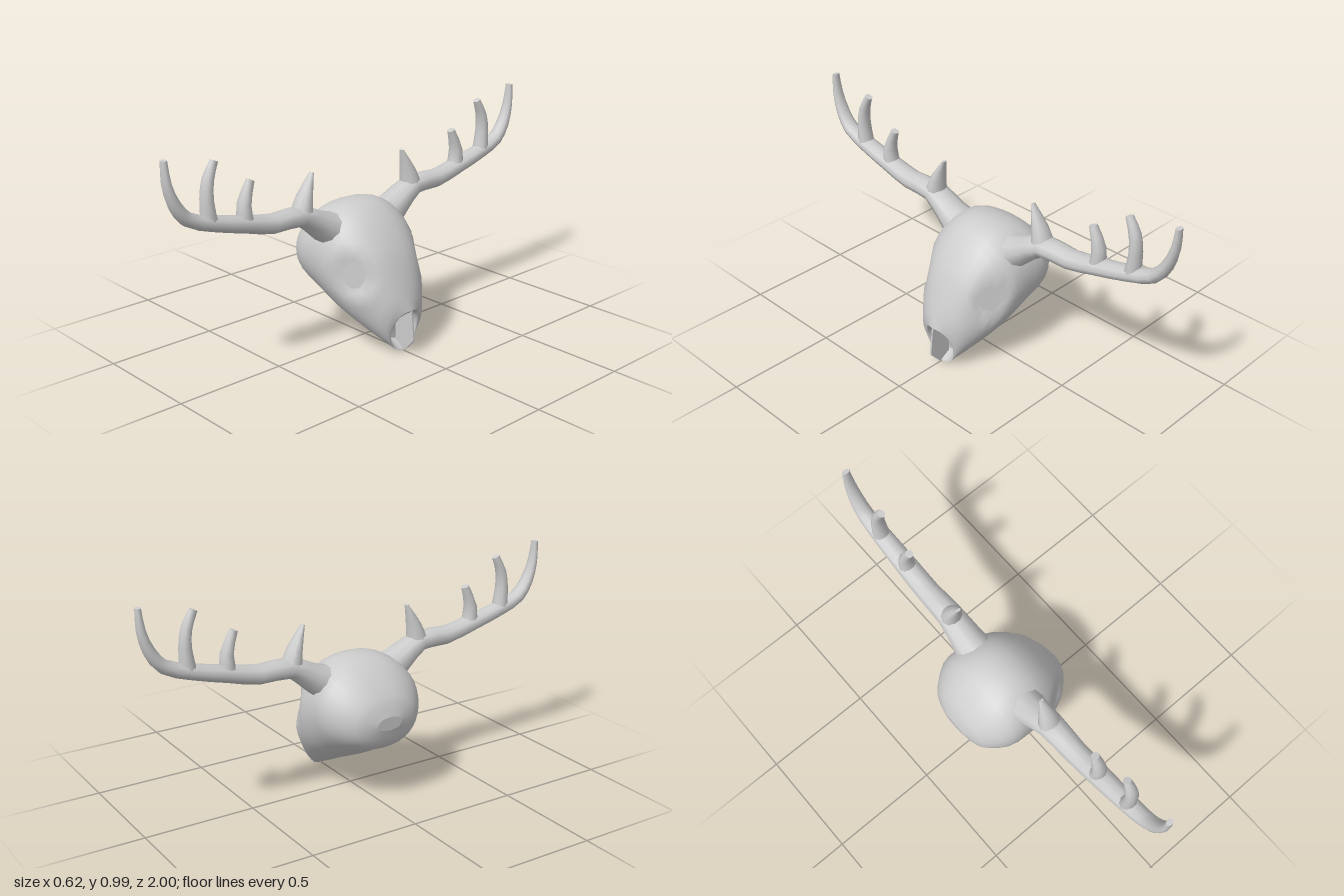
import * as THREE from 'three';

const V = (x, y, z) => new THREE.Vector3(x, y, z);
const material = new THREE.MeshStandardMaterial({ color: 0xcccccc });
const insideMaterial = new THREE.MeshStandardMaterial({ color: 0xcccccc, side: THREE.DoubleSide });

// Skin a row of closed rings; caps get their own vertices so their rims stay sharp.
function loft(rings, capStart, capEnd) {
  const pos = [], idx = [], n = rings[0].length;
  rings.forEach((ring) => ring.forEach((p) => pos.push(p.x, p.y, p.z)));
  for (let k = 0; k < rings.length - 1; k++) {
    for (let j = 0; j < n; j++) {
      const a = k * n + j, b = k * n + (j + 1) % n;
      idx.push(a, b, a + n, b, b + n, a + n);
    }
  }
  const cap = (ring, flip) => {
    const c = ring.reduce((s, p) => s.add(p), V(0, 0, 0)).divideScalar(n);
    const o = pos.length / 3;
    [c, ...ring].forEach((p) => pos.push(p.x, p.y, p.z));
    for (let j = 0; j < n; j++) {
      const a = o + 1 + j, b = o + 1 + (j + 1) % n;
      idx.push(o, flip ? b : a, flip ? a : b);
    }
  };
  if (capStart) cap(rings[0], true);
  if (capEnd) cap(rings[rings.length - 1], false);
  const g = new THREE.BufferGeometry();
  g.setAttribute('position', new THREE.Float32BufferAttribute(pos, 3));
  g.setIndex(idx);
  g.computeVertexNormals();
  return g;
}

function add(parent, name, geometry, mat = material) {
  const mesh = new THREE.Mesh(geometry, mat);
  mesh.name = name;
  parent.add(mesh);
  return mesh;
}

// Skull sections from the back to the muzzle: topX, topY, bottomX, bottomY, halfWidth
const SECTIONS = [
  [-0.31, 0.42, -0.308, 0.36, 0.06],
  [-0.275, 0.50, -0.28, 0.28, 0.155],
  [-0.155, 0.61, -0.20, 0.235, 0.237],
  [-0.03, 0.637, -0.10, 0.18, 0.243],
  [0.07, 0.60, 0.00, 0.13, 0.238],
  [0.18, 0.48, 0.08, 0.092, 0.205],
  [0.24, 0.36, 0.16, 0.05, 0.15],
  [0.295, 0.205, 0.25, 0.006, 0.082],
];
const EYE = V(0.123, 0.367, 0.178);
const EYE_NORMAL = V(0.55, 0.08, 0.83).normalize();

// Press the surface around each eye on to the plane of the eye
function sinkSocket(p) {
  const side = p.z < 0 ? -1 : 1;
  const d = V(p.x, p.y, p.z * side).sub(EYE);
  const h = d.dot(EYE_NORMAL);
  const r = d.addScaledVector(EYE_NORMAL, -h).length();
  const amount = 1 - THREE.MathUtils.smoothstep(r, 0.06, 0.11);
  const move = -(h + 0.002) * amount;
  if (Math.abs(h) < 0.1) p.add(V(EYE_NORMAL.x, EYE_NORMAL.y, EYE_NORMAL.z * side).multiplyScalar(move));
  return p;
}

function headRings() {
  const tops = new THREE.CatmullRomCurve3(SECTIONS.map((s) => V(s[0], s[1], 0)));
  const bottoms = new THREE.CatmullRomCurve3(SECTIONS.map((s) => V(s[2], s[3], 0)));
  const widths = new THREE.CatmullRomCurve3(SECTIONS.map((s, i) => V(i, s[4], 0)));
  const rows = (SECTIONS.length - 1) * 3, sides = 32, rings = [];
  for (let k = 0; k <= rows; k++) {
    const u = k / rows, t = tops.getPoint(u), b = bottoms.getPoint(u), w = widths.getPoint(u).y;
    const ring = [];
    for (let j = 0; j < sides; j++) {
      const a = (j / sides) * Math.PI * 2, c = Math.cos(a), s = Math.sin(a);
      const p = b.clone().lerp(t, 0.5 + s / 2);
      p.z = -Math.sign(c) * Math.pow(Math.abs(c), 0.85) * w;
      if (k === rows) p.x -= 0.025 * Math.abs(c); // nose rim bows back at the sides
      ring.push(sinkSocket(p));
    }
    rings.push(ring);
  }
  return rings;
}

function buildHead() {
  const head = new THREE.Group();
  head.name = 'head';
  const rings = headRings();
  add(head, 'skull', loft(rings, true, false));

  // Hollow nose: a thin rim, then a short tunnel with a back wall
  const rim = rings[rings.length - 1];
  const centre = V(0.268, 0.11, 0);
  const shrink = (f, dx, dy) => rim.map((p) => p.clone().sub(centre).multiplyScalar(f).add(centre).add(V(dx, dy, 0)));
  add(head, 'noseCavity', loft([rim, shrink(0.9, -0.005, 0), shrink(0.75, -0.06, 0.015)], false, true), insideMaterial);

  // Thin wall between the nostrils
  const wall = new THREE.Shape([[0.2, 0.2], [0.296, 0.2], [0.31, 0.07], [0.25, 0.003], [0.2, 0.04]]
    .map(([x, y]) => new THREE.Vector2(x, y)));
  add(head, 'noseWall', new THREE.ExtrudeGeometry(wall, { depth: 0.008, bevelEnabled: false }).translate(0, 0, -0.004));

  // Flat eyes
  for (const side of [1, -1]) {
    const eye = add(head, side > 0 ? 'leftEye' : 'rightEye', new THREE.CircleGeometry(1, 20));
    const n = V(EYE_NORMAL.x, EYE_NORMAL.y, EYE_NORMAL.z * side);
    eye.position.set(EYE.x, EYE.y, EYE.z * side).addScaledVector(n, 0.003);
    eye.scale.set(0.048, 0.06, 1);
    eye.lookAt(eye.position.clone().add(n));
  }
  return head;
}

// Tapering horn in the z-y plane through points [z, y, radius across x, radius in plane]
function horn(points, steps = 2, sides = 10) {
  const path = new THREE.CatmullRomCurve3(points.map(([z, y]) => V(0, y, z)));
  const radii = new THREE.CatmullRomCurve3(points.map(([, , rx, r]) => V(rx, r, 0)));
  const rows = (points.length - 1) * steps, rings = [];
  for (let k = 0; k <= rows; k++) {
    const c = path.getPoint(k / rows), t = path.getTangent(k / rows), r = radii.getPoint(k / rows);
    rings.push(Array.from({ length: sides }, (_, j) => {
      const a = (j / sides) * Math.PI * 2, s = Math.sin(a) * r.y;
      return V(Math.cos(a) * r.x, c.y + s * t.z, c.z - s * t.y);
    }));
  }
  return loft(rings, true, true);
}

function buildAntler(name) {
  const antler = new THREE.Group();
  antler.name = name;
  add(antler, 'beam', horn([
    [0.13, 0.51, 0.095, 0.09], [0.22, 0.56, 0.075, 0.063], [0.33, 0.625, 0.06, 0.045],
    [0.48, 0.626, 0.053, 0.042], [0.62, 0.657, 0.05, 0.037], [0.78, 0.697, 0.044, 0.033],
    [0.895, 0.74, 0.038, 0.03], [0.95, 0.81, 0.033, 0.025], [0.98, 0.9, 0.026, 0.018], [0.987, 0.993, 0.018, 0.012],
  ]));
  add(antler, 'browTine', horn([[0.325, 0.62, 0.055, 0.05], [0.305, 0.70, 0.042, 0.033], [0.263, 0.803, 0.012, 0.006]]));
  add(antler, 'middleTine', horn([[0.615, 0.65, 0.042, 0.036], [0.62, 0.74, 0.034, 0.028], [0.585, 0.836, 0.018, 0.018]]));
  add(antler, 'upperTine', horn([
    [0.79, 0.69, 0.04, 0.036], [0.80, 0.80, 0.034, 0.026], [0.79, 0.88, 0.028, 0.023], [0.757, 0.95, 0.016, 0.018],
  ]));
  antler.position.x = -0.045;
  return antler;
}

export function createModel() {
  const model = new THREE.Group();
  model.name = 'antleredSkull';
  const right = buildAntler('rightAntler');
  right.rotation.y = Math.PI;
  model.add(buildHead(), buildAntler('leftAntler'), right);
  return model;
}
